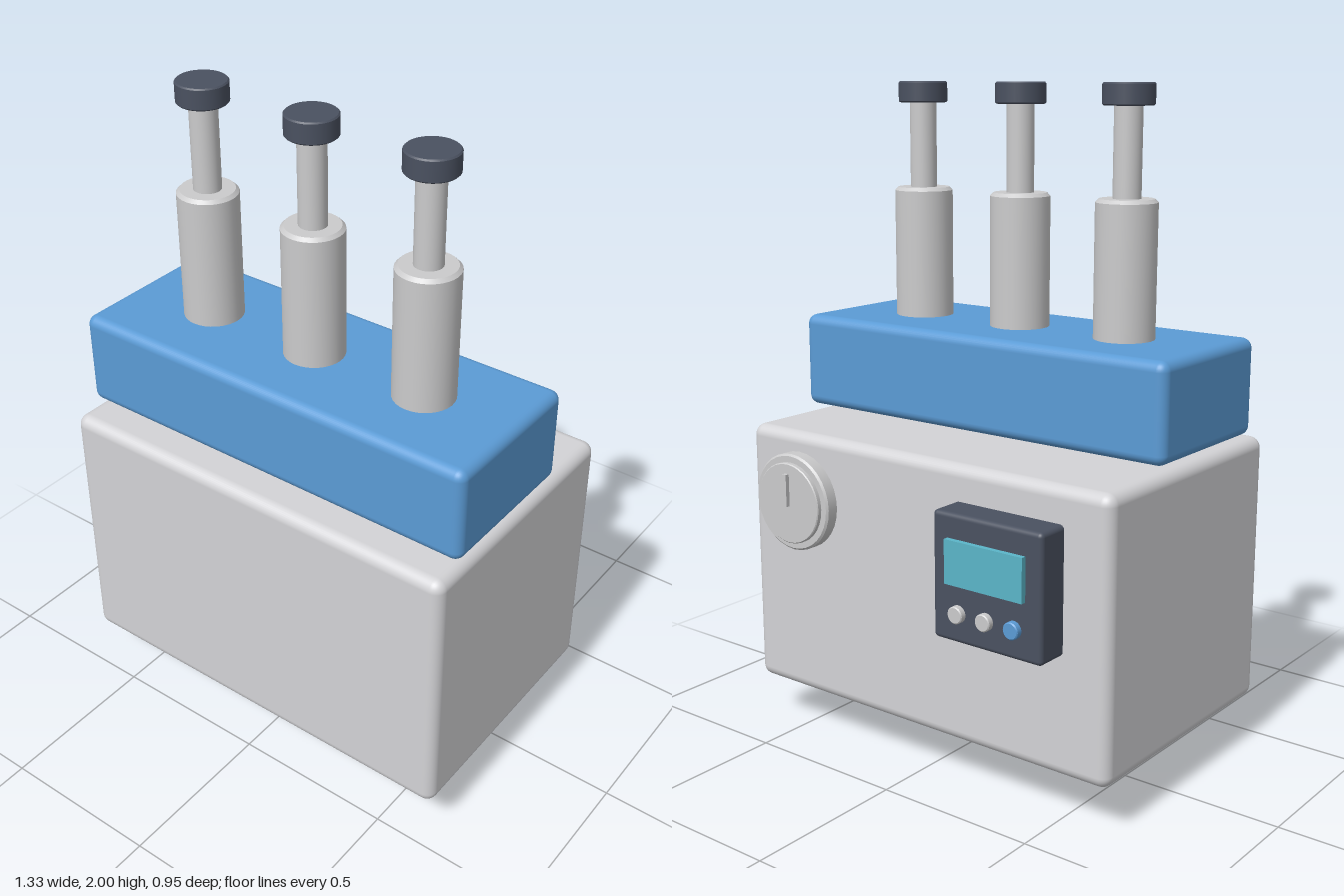
import * as THREE from 'three';
import { RoundedBoxGeometry } from 'three/addons/geometries/RoundedBoxGeometry.js';

const paint = (name, color) => {
  const m = new THREE.MeshStandardMaterial({ color });
  m.name = name;
  return m;
};

export function createModel() {
  const housing = paint('light grey', 0xd3d3d6);
  const metal = paint('silver', 0xcbcbcc);
  const blue = paint('blue', 0x5b9bd5);
  const dark = paint('charcoal', 0x4a5160);
  const teal = paint('screen teal', 0x5bb5c8);

  const model = new THREE.Group();
  model.name = 'dispenser';

  const add = (parent, name, geometry, material, x, y, z) => {
    const mesh = new THREE.Mesh(geometry, material);
    mesh.name = name;
    mesh.position.set(x, y, z);
    parent.add(mesh);
    return mesh;
  };
  const box = (w, h, d, r) => new RoundedBoxGeometry(w, h, d, 4, r);

  // Upright solid with small bevelled rims, base at y = 0
  const drum = (r, h, b) => {
    const pts = [[0, 0], [r - b, 0], [r - b, 0], [r, b], [r, b], [r, h - b], [r, h - b], [r - b, h], [r - b, h], [0, h]];
    return new THREE.LatheGeometry(pts.map(p => new THREE.Vector2(...p)), 32);
  };
  // Same solid growing towards the back (-z)
  const backDrum = (r, h, b) => drum(r, h, b).rotateX(-Math.PI / 2);

  // Main housing and the block floating just above it
  add(model, 'housing', box(1.33, 0.83, 0.83, 0.035), housing, 0, 0.555, 0.058);
  add(model, 'plungerBlock', box(1.33, 0.29, 0.5, 0.03), blue, 0, 1.135, 0.14);

  // Three plungers
  for (const x of [-0.375, 0, 0.375]) {
    const plunger = new THREE.Group();
    plunger.name = 'plunger';
    plunger.position.set(x, 0, 0.139);
    model.add(plunger);
    add(plunger, 'barrel', drum(0.09, 0.41, 0.01), metal, 0, 1.27, 0);
    add(plunger, 'rod', new THREE.CylinderGeometry(0.041, 0.041, 0.28, 32), metal, 0, 1.81, 0);
    add(plunger, 'cap', drum(0.075, 0.063, 0.004), dark, 0, 1.937, 0);
  }

  // Outlet bowl and nozzle underneath
  const bowl = [new THREE.Vector2(0, -0.075)];
  for (let i = 1; i <= 12; i++) {
    const a = (i / 12) * Math.PI / 2;
    bowl.push(new THREE.Vector2(0.075 * Math.sin(a), -0.075 * Math.cos(a)));
  }
  bowl.push(new THREE.Vector2(0.075, 0.01));
  add(model, 'outletBowl', new THREE.LatheGeometry(bowl, 32), dark, 0, 0.14, 0.06);
  add(model, 'nozzle', new THREE.CylinderGeometry(0.022, 0.022, 0.09, 24), dark, 0, 0.045, 0.06);

  // Control panel on the back
  const panel = new THREE.Group();
  panel.name = 'controlPanel';
  panel.position.set(-0.333, 0.682, -0.456);
  model.add(panel);
  add(panel, 'panelCase', box(0.37, 0.37, 0.12, 0.014), dark, 0, 0, 0.06);
  add(panel, 'screen', new THREE.BoxGeometry(0.264, 0.128, 0.024), teal, 0, 0.05, -0.004);
  [-0.095, 0, 0.095].forEach((x, i) => {
    add(panel, 'button', backDrum(0.025, 0.024, 0.003), i === 0 ? blue : metal, x, -0.098, 0.005);
  });

  // Round dial with a raised pointer on the back
  const dial = new THREE.Group();
  dial.name = 'dial';
  dial.position.set(0.457, 0.762, -0.35);
  model.add(dial);
  add(dial, 'dialBase', backDrum(0.15, 0.048, 0.006), metal, 0, 0, 0);
  add(dial, 'dialFace', backDrum(0.125, 0.063, 0.003), metal, 0, 0, 0);
  add(dial, 'pointer', new THREE.BoxGeometry(0.015, 0.1, 0.016), metal, 0, 0.043, -0.068);

  return model;
}
